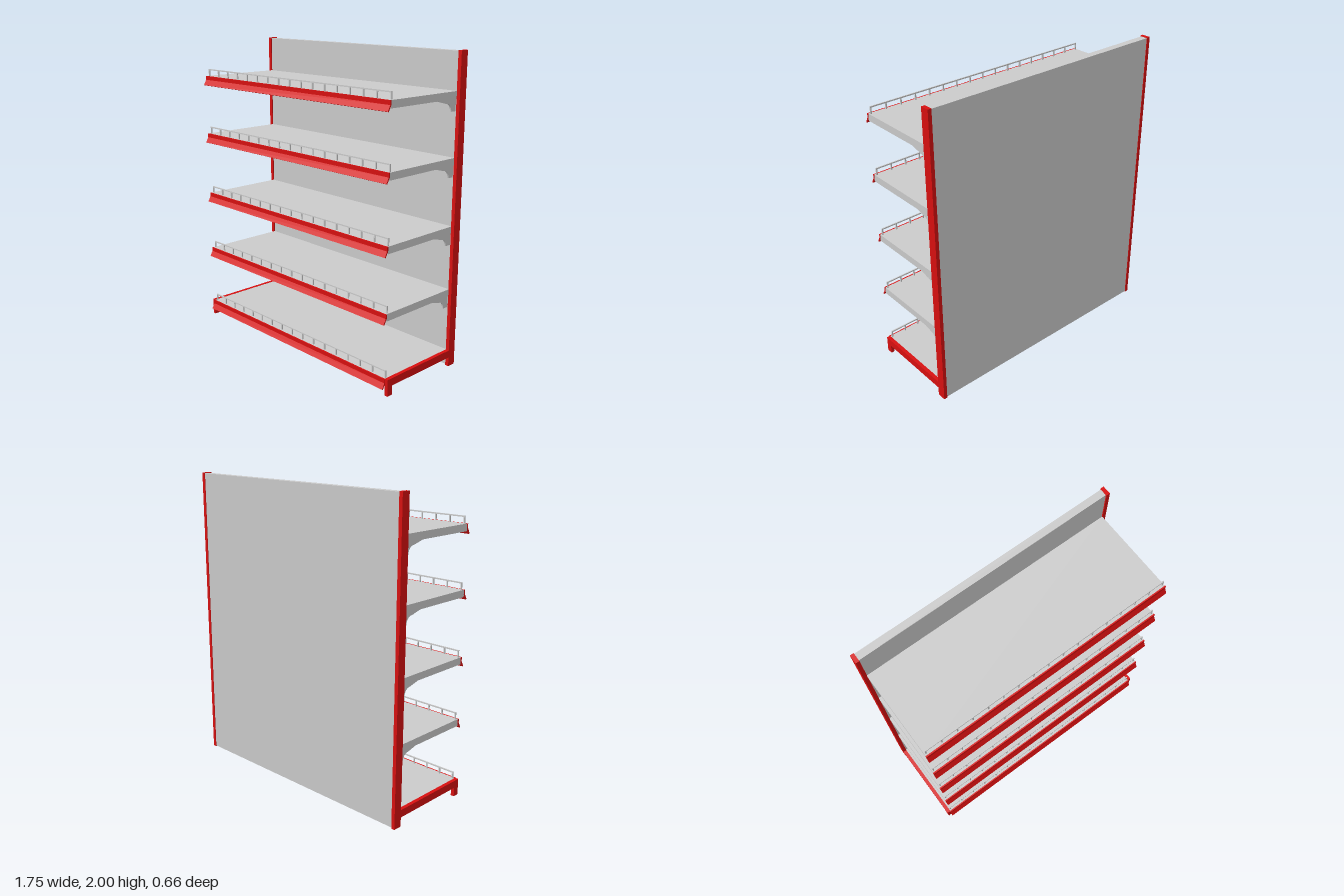
import * as THREE from 'three';

const grey = new THREE.MeshStandardMaterial({ color: 0xcccccc });
const red = new THREE.MeshStandardMaterial({ color: 0xd81010 });

// Box given by its min and max corners
function box(parent, name, mat, [x0, y0, z0], [x1, y1, z1]) {
  const mesh = new THREE.Mesh(new THREE.BoxGeometry(x1 - x0, y1 - y0, z1 - z0), mat);
  mesh.position.set((x0 + x1) / 2, (y0 + y1) / 2, (z0 + z1) / 2);
  mesh.name = name;
  parent.add(mesh);
  return mesh;
}

// Side profile drawn in (z, y), extruded across x and centred on x
function sideExtrude(parent, name, mat, shape, width, x) {
  const geo = new THREE.ExtrudeGeometry(shape, { depth: width, bevelEnabled: false, curveSegments: 8 });
  geo.translate(0, 0, -width / 2);
  geo.rotateY(-Math.PI / 2);
  geo.scale(1, 1, 1);
  const mesh = new THREE.Mesh(geo, mat);
  mesh.position.x = x;
  mesh.name = name;
  parent.add(mesh);
}

// Price strip: short upright lip, then a face slanting forwards
const stripShape = new THREE.Shape([
  [0.303, 0], [0.303, -0.028], [0.324, -0.064], [0.331, -0.061], [0.312, -0.026], [0.312, 0],
].map(([z, y]) => new THREE.Vector2(z, y)));

// Curved support bracket below a shelf
const bracketShape = new THREE.Shape();
bracketShape.moveTo(-0.275, -0.045);
bracketShape.lineTo(-0.275, -0.12);
bracketShape.lineTo(-0.235, -0.12);
bracketShape.bezierCurveTo(-0.232, -0.085, -0.215, -0.07, -0.185, -0.068);
bracketShape.lineTo(-0.1, -0.046);
bracketShape.lineTo(-0.1, -0.045);

function makeShelf(withBrackets) {
  const shelf = new THREE.Group();
  const w = 0.852, t = 0.006, h = 0.046, zb = -0.278, zf = 0.304;

  // Sheet metal tray, open below
  const tray = new THREE.Group();
  tray.name = 'tray';
  box(tray, 'shelfTop', grey, [-w, -t, zb], [w, 0, zf]);
  box(tray, 'frontFlange', grey, [-w, -h, zf - t], [w, -t, zf]);
  box(tray, 'backFlange', grey, [-w, -h, zb], [w, -t, zb + t]);
  for (const s of [-1, 1]) {
    const a = s * w, b = s * (w - t);
    box(tray, 'sideFlange', grey, [Math.min(a, b), -h, zb + t], [Math.max(a, b), -t, zf - t]);
    if (withBrackets) sideExtrude(shelf, 'bracket', grey, bracketShape, 0.01, s * 0.841);
  }
  shelf.add(tray);
  sideExtrude(shelf, 'priceStrip', red, stripShape, 1.708, 0);

  // Low guard rail on evenly spaced posts
  const rail = new THREE.Group();
  rail.name = 'guardRail';
  const half = 0.841, n = 16, r = 0.004;
  box(rail, 'railBar', grey, [-half - r, 0.039, 0.286], [half + r, 0.047, 0.294]);
  for (let i = 0; i <= n; i++) {
    const x = -half + (2 * half * i) / n;
    box(rail, 'railPost', grey, [x - r, 0, 0.286], [x + r, 0.039, 0.294]);
  }
  shelf.add(rail);
  return shelf;
}

export function createModel() {
  const model = new THREE.Group();
  model.name = 'shelvingUnit';

  box(model, 'backPanel', grey, [-0.851, 0.004, -0.327], [0.851, 1.996, -0.28]);

  // Uprights and base legs on both sides
  for (const s of [-1, 1]) {
    const x0 = Math.min(s * 0.851, s * 0.875), x1 = Math.max(s * 0.851, s * 0.875);
    box(model, 'upright', red, [x0, 0, -0.331], [x1, 2, -0.273]);
    box(model, 'baseArm', red, [x0, 0.06, -0.273], [x1, 0.109, 0.306]);
    box(model, 'foot', red, [x0, 0, 0.265], [x1, 0.06, 0.306]);
  }

  // Base shelf and four bracketed shelves
  [0.108, 0.519, 0.931, 1.361, 1.763].forEach((y, i) => {
    const shelf = makeShelf(i > 0);
    shelf.name = i > 0 ? 'shelf' : 'baseShelf';
    shelf.position.y = y;
    model.add(shelf);
  });
  return model;
}
